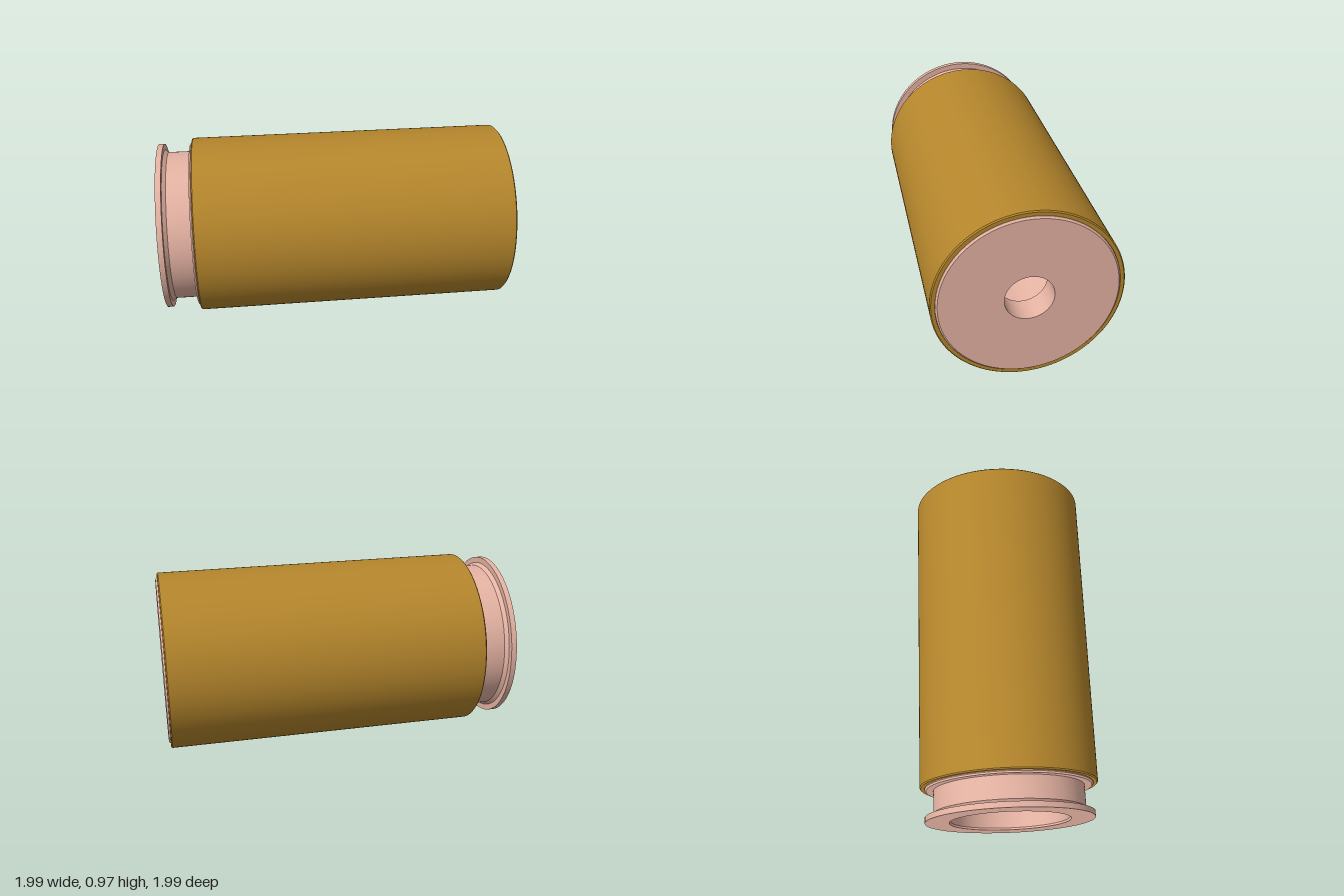
import * as THREE from 'three';
import { toCreasedNormals } from 'three/addons/utils/BufferGeometryUtils.js';

// Closed [radius, axial] profile turned around the cylinder axis, with crisp rims
function turned(name, profile, color) {
  const pts = [...profile, profile[0]].map(([r, t]) => new THREE.Vector2(r, t));
  const geometry = toCreasedNormals(new THREE.LatheGeometry(pts, 128), Math.PI / 6);
  const mesh = new THREE.Mesh(geometry, new THREE.MeshStandardMaterial({ color }));
  mesh.name = name;
  return mesh;
}

export function createModel() {
  const model = new THREE.Group();
  model.name = 'sleevedCylinder';

  const axis = new THREE.Group();
  axis.name = 'cylinderAssembly';
  // axis lies flat, its open end pointing to front right
  axis.rotation.set(Math.PI / 2, -Math.PI / 4, 0, 'YXZ');
  axis.position.y = 0.485;
  model.add(axis);

  // Outer brass tube
  axis.add(turned('outerSleeve', [
    [0.458, -0.93], [0.477, -0.93], [0.483, -0.924],
    [0.483, 0.765], [0.477, 0.771], [0.458, 0.771],
  ], 0xb5862c));

  // Copper body: end cap with small hole, body, neck, rim flange and wide bore
  axis.add(turned('innerBody', [
    [0.125, -0.94], [0.448, -0.94], [0.457, -0.931],
    [0.457, 0.776], [0.449, 0.784], [0.41, 0.784],
    [0.41, 0.905], [0.425, 0.925],
    [0.457, 0.925], [0.457, 0.955],
    [0.327, 0.955], [0.32, 0.945],
    [0.32, -0.80], [0.125, -0.80],
  ], 0xe5b3a3));

  return model;
}
